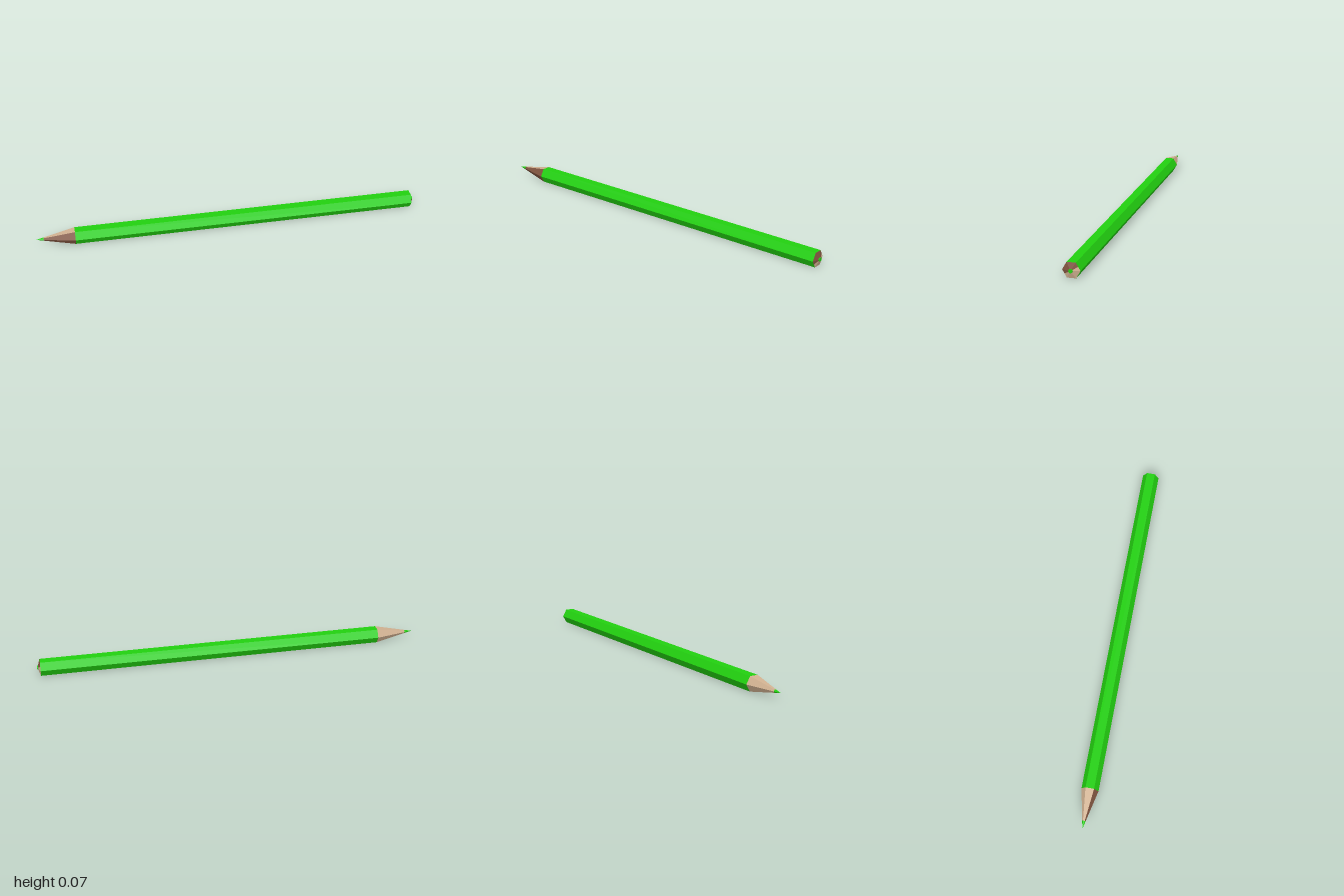
import * as THREE from 'three';

const R = 0.0433;               // corner radius of the hexagonal body
const AXIS_Y = R * Math.cos(Math.PI / 6);

function material(name, color) {
  const m = new THREE.MeshStandardMaterial({ color, flatShading: true });
  m.name = name;
  return m;
}

export function createModel() {
  const group = new THREE.Group();
  group.name = 'pencil';
  const green = material('green paint', 0x22d010);
  const tan = material('light wood', 0xd0b090);
  const brown = material('dark wood', 0x80543f);

  // Lays a faceted tube along x, from radius r0 at x0 to r1 at x1
  function section(name, mat, x0, r0, x1, r1, sides = 6, open = true, start = 0, length = Math.PI * 2) {
    const geo = new THREE.CylinderGeometry(r1, r0, x1 - x0, sides, 1, open, start, length);
    geo.rotateZ(-Math.PI / 2);
    const mesh = new THREE.Mesh(geo, mat);
    mesh.name = name;
    mesh.position.set((x0 + x1) / 2, AXIS_Y, 0);
    group.add(mesh);
    return mesh;
  }

  // Painted hexagonal body
  section('body', green, -0.8, R, 0.985, R);

  // Sharpened wood, dark on the front half and light on the back half
  const leadR = 0.0087, leadX = -0.96;
  section('tipWoodDark', brown, leadX, leadR, -0.8, R, 3, true, -Math.PI / 3, Math.PI);
  section('tipWoodLight', tan, leadX, leadR, -0.8, R, 3, true, Math.PI * 2 / 3, Math.PI);
  section('leadPoint', green, -1, 0, leadX, leadR);

  // Shallow end cap, split diagonally through the middle of two flats
  function capHalf(name, mat, start) {
    const mesh = section(name, mat, 0.985, R, 0.996, 0.008, 6, true, start, Math.PI);
    const p = mesh.geometry.attributes.position;
    for (let i = 0; i < p.count; i++) {
      // pull the points between corners in to the flats of the hexagon
      const step = Math.round(Math.atan2(p.getY(i), p.getZ(i)) / (Math.PI / 6));
      if (step % 2 !== 0) {
        const k = Math.cos(Math.PI / 6);
        p.setY(i, p.getY(i) * k);
        p.setZ(i, p.getZ(i) * k);
      }
    }
    mesh.geometry.computeVertexNormals();
  }
  capHalf('endWoodDark', brown, -Math.PI * 5 / 6);
  capHalf('endWoodLight', tan, Math.PI / 6);

  // Core showing at the blunt end
  section('leadEnd', green, 0.985, 0.0105, 1, 0.0105, 8, false);

  return group;
}
